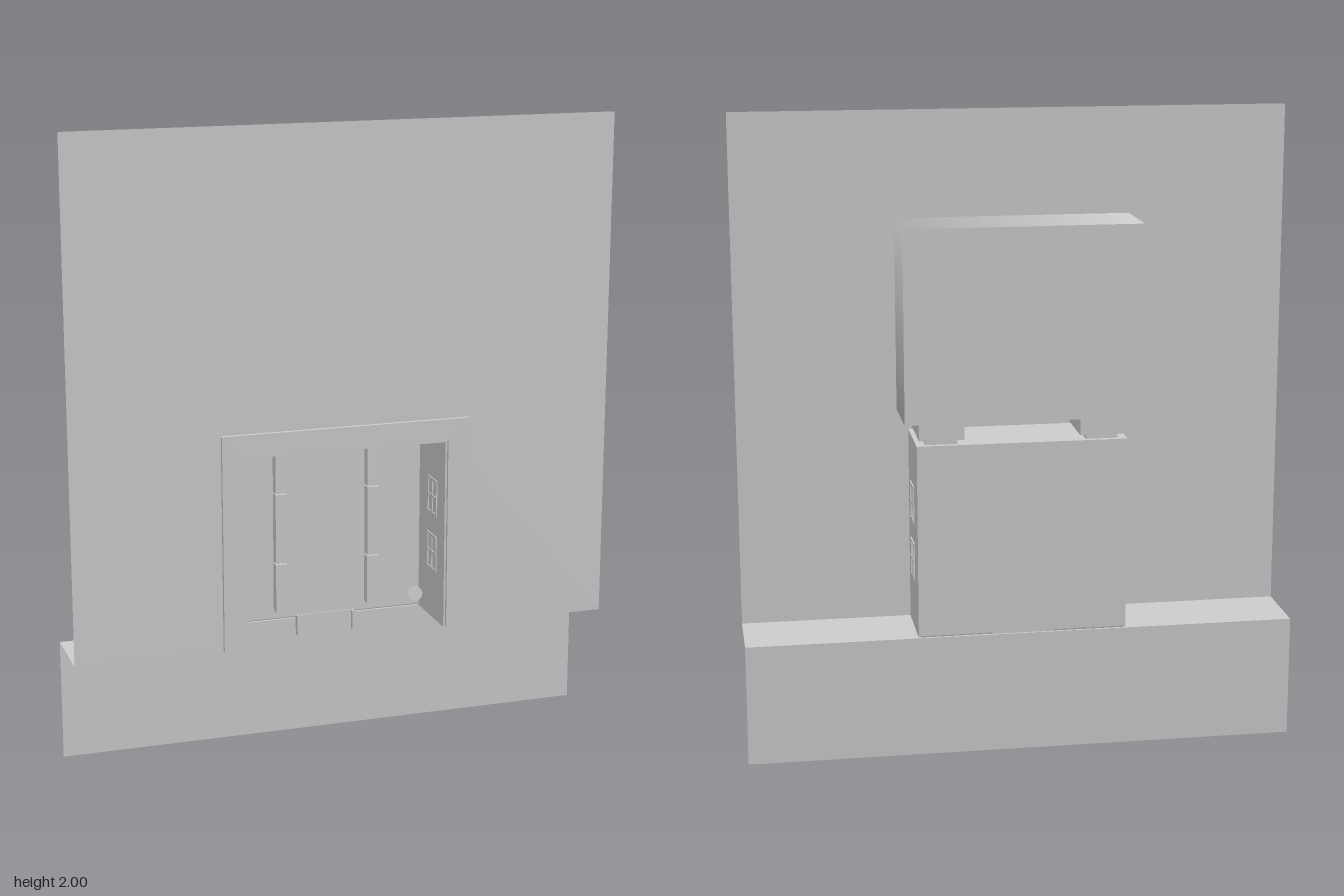
import * as THREE from 'three';

export function createModel() {
  const root = new THREE.Group();
  const grey = new THREE.MeshStandardMaterial({ color: 0xcccccc, side: THREE.DoubleSide });
  grey.name = 'plain grey';

  const add = (name, geo, x = 0, y = 0, z = 0, parent = root) => {
    const mesh = new THREE.Mesh(geo, grey);
    mesh.name = name;
    mesh.position.set(x, y, z);
    parent.add(mesh);
    return mesh;
  };
  // box given by its lower and upper limits
  const block = (name, x0, x1, y0, y1, z0, z1, parent) =>
    add(name, new THREE.BoxGeometry(x1 - x0, y1 - y0, z1 - z0),
      (x0 + x1) / 2, (y0 + y1) / 2, (z0 + z1) / 2, parent);
  const polygon = (pts) => new THREE.Shape(pts.map(([x, y]) => new THREE.Vector2(x, y)));

  const W = 0.866, H = 2, BASE = 0.385;     // facade
  const front = 0.113, rear = -0.118;       // facade planes
  const RX = 0.328, TOP = 1.0, back = -0.11; // recess

  // upper facade with the doorway cut out
  add('upperWall', new THREE.ShapeGeometry(polygon([
    [-W, BASE], [-RX, BASE], [-RX, TOP], [RX, TOP], [RX, BASE], [W, BASE], [W, H], [-W, H],
  ])), 0, 0, front);

  // ledge behind the facade, notched around the recess
  const ledge = new THREE.ShapeGeometry(polygon([
    [-W, -front], [-RX, -front], [-RX, -back], [RX, -back],
    [RX, -front], [W, -front], [W, -rear], [-W, -rear],
  ]));
  add('ledge', ledge.rotateX(-Math.PI / 2), 0, BASE, 0);

  // set-back base wall
  add('baseWall', new THREE.PlaneGeometry(2 * W, BASE), 0, BASE / 2, rear);

  // raised surround of the doorway
  const O = 0.4, OT = 1.07;
  add('doorSurround', new THREE.ExtrudeGeometry(polygon([
    [-O, BASE], [-RX, BASE], [-RX, TOP], [RX, TOP], [RX, BASE], [O, BASE], [O, OT], [-O, OT],
  ]), { depth: 0.013, bevelEnabled: false }), 0, 0, 0.117);

  // recess shell: back, ceiling and sides
  const recess = new THREE.Group();
  recess.name = 'recess';
  root.add(recess);
  const t = 0.006;
  block('recessBack', -RX, RX, BASE + 0.006, TOP, back - t, back, recess);
  block('recessCeiling', -RX, RX, TOP - t, TOP, back, 0.12, recess);
  for (const s of [-1, 1]) {
    const side = block('recessSide', -t / 2, t / 2, BASE, TOP, back, 0.12, recess);
    side.position.x = s * (RX - t / 2);

    // four-pane windows in relief on both faces of the side wall
    for (const y of [0.605, 0.79]) {
      const frame = new THREE.Group();
      frame.name = 'sideWindow';
      frame.position.set(s * (RX - t / 2), y, 0.012);
      recess.add(frame);
      const d = 0.007;
      for (const k of [-1, 0, 1]) {
        block('windowUpright', -d, d, -0.06, 0.06, k * 0.038 - 0.004, k * 0.038 + 0.004, frame);
        block('windowBar', -d, d, k * 0.056 - 0.004, k * 0.056 + 0.004, -0.042, 0.042, frame);
      }
    }

    // vertical strip in three lengths on the back wall
    for (const [y0, y1] of [[0.42, 0.579], [0.583, 0.81], [0.814, 0.98]]) {
      const strip = block('wallStrip', -0.019, 0.019, y0, y1, back, back + 0.03, recess);
      strip.position.x = s * 0.153;
    }

    // small lamps in the corners, tilted towards the middle
    for (const y of [0.435, 0.968]) {
      const lamp = new THREE.Group();
      lamp.name = 'cornerLamp';
      lamp.position.set(s * 0.3, y, back + 0.028);
      lamp.rotation.set(y > 0.7 ? 0.35 : -0.35, -s * 0.35, 0);
      recess.add(lamp);
      const can = new THREE.CylinderGeometry(0.024, 0.02, 0.035, 16).rotateX(Math.PI / 2);
      add('lampCan', can, 0, 0, 0, lamp);
      const stem = new THREE.CylinderGeometry(0.007, 0.007, 0.03, 10).rotateX(Math.PI / 2);
      add('lampStem', stem, 0, 0, -0.02, lamp);
    }

    // supports between the recess and the upper casing
    const lug = block('casingSupport', -0.07, 0.07, 1.015, 1.07, -0.11, 0.085);
    lug.position.x = s * 0.25;
    const foot = block('supportFoot', -0.05, 0.05, TOP, 1.015, -0.1, 0.04);
    foot.position.x = s * 0.25;
  }

  // shallow tray hanging below the back wall
  block('trayBack', -0.098, 0.096, 0.33, 0.395, -0.112, -0.107);
  block('trayLeft', 0.088, 0.096, 0.33, 0.395, -0.107, -0.09);
  block('trayRight', -0.098, -0.09, 0.33, 0.395, -0.107, -0.09);
  block('ceilingLip', -0.098, 0.096, 0.988, 0.995, back, back + 0.02);

  // upper casing: four-sided drum with softened side normals
  const casing = new THREE.CylinderGeometry(Math.SQRT1_2, Math.SQRT1_2, 1, 4, 1, false, Math.PI / 4);
  casing.rotateX(Math.PI / 2).scale(0.735, 0.6, 0.23);
  add('upperCasing', casing, -0.002, 1.37, -0.015);

  return root;
}
